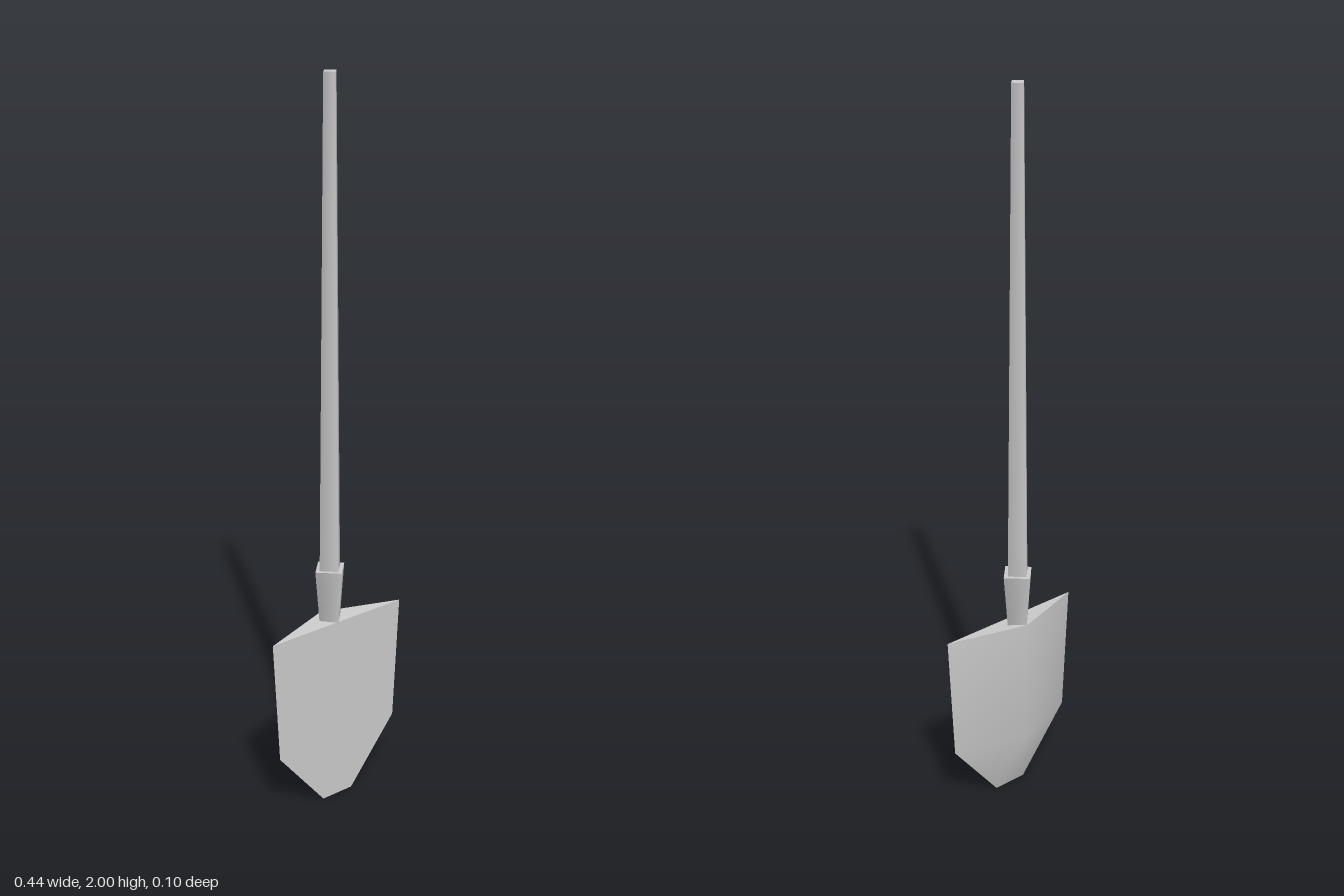
import * as THREE from 'three';
import { toCreasedNormals } from 'three/addons/utils/BufferGeometryUtils.js';

export function createModel() {
  const group = new THREE.Group();
  const material = new THREE.MeshStandardMaterial({ color: 0xcccccc });
  const add = (name, geometry) => {
    const mesh = new THREE.Mesh(geometry, material);
    mesh.name = name;
    group.add(mesh);
    return mesh;
  };

  // four-sided tapered bar, corners facing the front and sides
  const bar = (name, rTop, rBottom, y0, y1) => {
    add(name, new THREE.CylinderGeometry(rTop, rBottom, y1 - y0, 4)).position.y = (y0 + y1) / 2;
  };
  bar('handle', 0.021, 0.036, 0.6, 2);
  bar('socket', 0.05, 0.036, 0.53, 0.68);

  // blade: flat front outline, with a ridge along the back
  const front = 0.033, back = -0.038;
  const corners = [
    [-0.22, 0.53, front], [-0.2, 0.18, front], [-0.05, 0, front],
    [0.05, 0, front], [0.2, 0.18, front], [0.22, 0.53, front],
    [0, 0.535, back], [0, 0.18, back],
  ];
  const ridgeTop = 6, ridgeEnd = 7;
  const faces = [
    0, 1, 5, 1, 4, 5, 1, 2, 4, 2, 3, 4, // front
    0, 5, ridgeTop, // top
    0, ridgeTop, ridgeEnd, 0, ridgeEnd, 1, // back, right side
    5, ridgeEnd, ridgeTop, 5, 4, ridgeEnd, // back, left side
    1, ridgeEnd, 2, 4, 3, ridgeEnd, 2, ridgeEnd, 3, // slope to the tip
  ];
  const blade = new THREE.BufferGeometry();
  blade.setAttribute('position', new THREE.Float32BufferAttribute(corners.flat(), 3));
  blade.setIndex(faces);
  add('blade', toCreasedNormals(blade, 1.0));

  return group;
}
